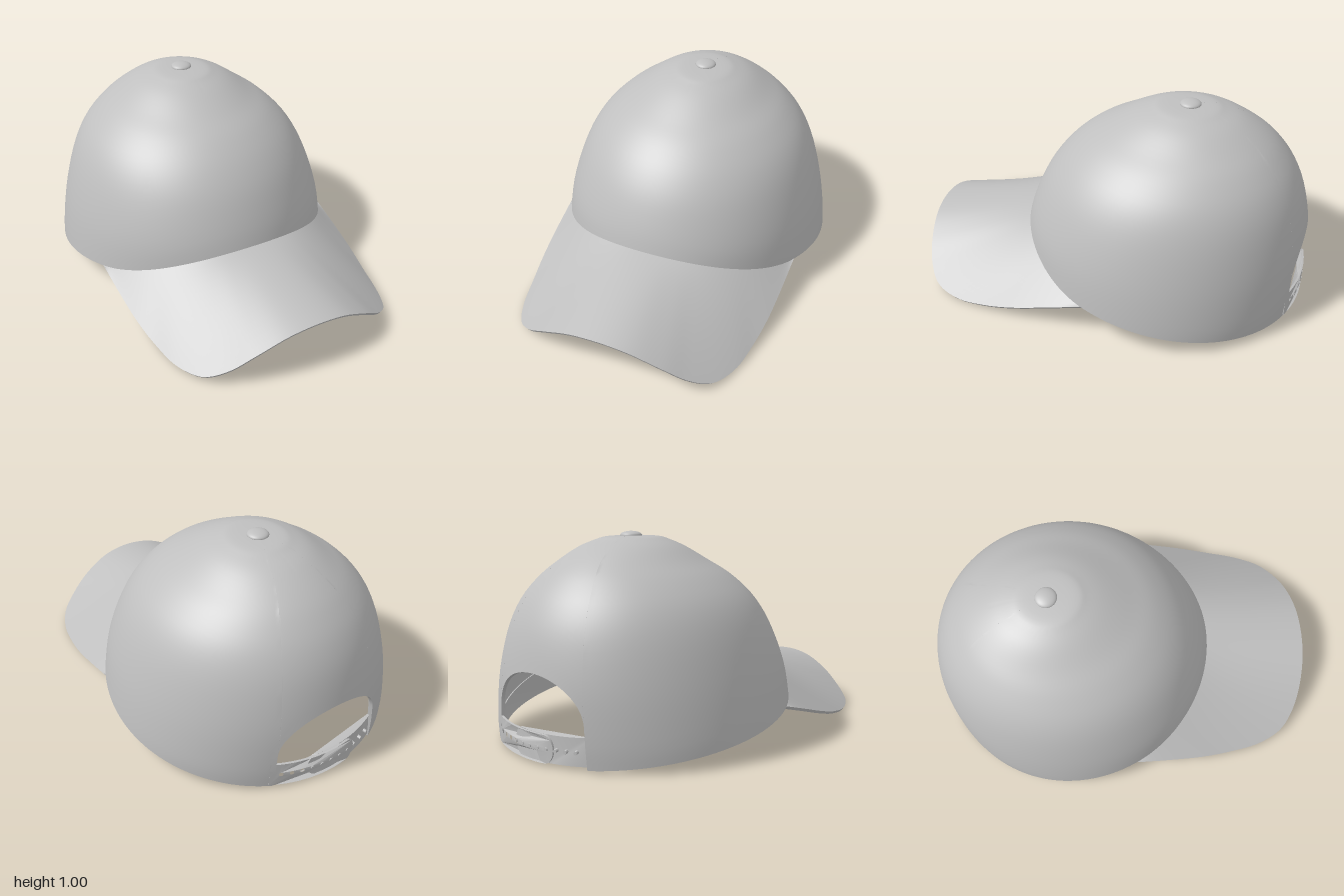
import * as THREE from 'three';
import { toCreasedNormals } from 'three/addons/utils/BufferGeometryUtils.js';

const V = (x, y, z) => new THREE.Vector3(x, y, z);
const fabric = new THREE.MeshStandardMaterial({ color: 0xbfbfbf });
fabric.name = 'grey fabric';

// Grid surface from cross-sections; either direction can be closed
function sheet(cols, rows, fn, closeI, closeJ) {
  const pos = [], idx = [];
  for (let i = 0; i < cols; i++) for (let j = 0; j < rows; j++) pos.push(...fn(i, j).toArray());
  const at = (i, j) => (i % cols) * rows + (j % rows);
  for (let i = 0; i < (closeI ? cols : cols - 1); i++) {
    for (let j = 0; j < (closeJ ? rows : rows - 1); j++) {
      const a = at(i, j), b = at(i + 1, j), c = at(i + 1, j + 1), d = at(i, j + 1);
      idx.push(a, b, c, a, c, d);
    }
  }
  const g = new THREE.BufferGeometry();
  g.setAttribute('position', new THREE.Float32BufferAttribute(pos, 3));
  g.setIndex(idx);
  return toCreasedNormals(g, 0.8);
}

// Crown profile: height, half width, front z, back z
const rowsTable = [
  [0, 0.722, 0.475, -0.99], [0.13, 0.716, 0.475, -1], [0.337, 0.68, 0.46, -0.995],
  [0.54, 0.618, 0.38, -0.955], [0.68, 0.545, 0.285, -0.895], [0.785, 0.445, 0.17, -0.815],
  [0.86, 0.34, 0.045, -0.73], [0.925, 0.245, -0.075, -0.625], [0.96, 0.17, -0.16, -0.535],
  [0.975, 0.115, -0.215, -0.475], [0.98, 0, -0.35, -0.35],
];
const spline = (pts) => new THREE.CatmullRomCurve3(pts, false, 'catmullrom', 0.5);
const frontCurve = spline(rowsTable.map(([y, x, f]) => V(x, y, f)));
const backCurve = spline(rowsTable.map(([y, x, , b]) => V(x, y, b)));

function crownPoint(theta, t, inset = 0) {
  const f = frontCurve.getPoint(t), b = backCurve.getPoint(t);
  const p = V(f.x * Math.sin(theta), f.y, (f.z + b.z) / 2 + (f.z - b.z) / 2 * Math.cos(theta));
  return p.lerp(V(0, Math.min(p.y, 0.3), -0.27), inset);
}

// Bottom edge rises towards the front
const edgeHeight = (z) => 0.16 + 0.159 * (z - 0.03) + 0.11 * Math.max(0, (z - 0.03) / 0.43) ** 2;

function solveT(theta, heightAt) {
  let lo = 0, hi = 1;
  for (let k = 0; k < 30; k++) {
    const mid = (lo + hi) / 2, p = crownPoint(theta, mid);
    if (p.y < heightAt(p)) lo = mid; else hi = mid;
  }
  return lo;
}
const edgeT = (theta) => solveT(theta, (p) => edgeHeight(p.z));

const holeHalf = 0.417, holeEdge = Math.PI - holeHalf;

// Crown shell with a rear arch opening
function crownGeometry() {
  const columns = [];
  for (let i = 0; i <= 120; i++) {
    const theta = holeEdge * (i / 60 - 1);
    columns.push({ theta, t0: edgeT(theta) });
  }
  for (let i = 0; i <= 32; i++) {
    const a = -Math.cos(Math.PI * i / 32), theta = Math.PI + a * holeHalf;
    const arch = 0.2 + 0.2 * Math.sqrt(Math.max(0, 1 - a * a));
    columns.push({ theta, t0: solveT(theta, () => arch) });
  }
  const n = 36;
  return sheet(columns.length, 2 * n + 2, (i, j) => {
    const { theta, t0 } = columns[i], outer = j <= n;
    const v = (outer ? j : 2 * n + 1 - j) / n;
    return crownPoint(theta, t0 + (1 - t0) * v, outer ? 0 : 0.022);
  }, true, true);
}

// Band lining the inside of the bottom edge
function sweatbandGeometry() {
  const n = 6;
  return sheet(97, 2 * n + 2, (i, j) => {
    const theta = holeEdge * (i / 48 - 1), outer = j <= n;
    const v = (outer ? j : 2 * n + 1 - j) / n;
    return crownPoint(theta, edgeT(theta) + 0.075 * v, outer ? 0.021 : 0.03);
  }, false, true);
}

// Brim ruled between the crown seam and a curved outline
function brimGeometry() {
  const half = [
    [0.15, 0.228, 0.992], [0.3, 0.16, 0.965], [0.42, 0.082, 0.92], [0.51, 0.031, 0.85],
    [0.575, 0.014, 0.72], [0.61, 0.03, 0.56], [0.634, 0.066, 0.4], [0.647, 0.115, 0.22],
    [0.655, 0.165, 0.035],
  ];
  const outline = new THREE.CatmullRomCurve3([
    ...half.map(([x, y, z]) => V(-x, y, z)).reverse(), V(0, 0.248, 1), ...half.map((p) => V(...p)),
  ]);
  const cols = 97, n = 14;
  return sheet(cols, 2 * n + 2, (i, j) => {
    const u = i / (cols - 1), theta = (u * 2 - 1) * 1.155;
    const top = j <= n, w = (top ? j : 2 * n + 1 - j) / n;
    const p = outline.getPointAt(u).lerp(crownPoint(theta, edgeT(theta), 0.004), w);
    return top ? p : V(p.x * 0.985, p.y - 0.013, p.z - 0.006 * (1 - w));
  }, false, true);
}

// Wraps flat strap parts around the back of the head
function bend(g, radius) {
  const p = g.attributes.position;
  for (let i = 0; i < p.count; i++) {
    const a = p.getX(i) / 0.725, r = radius + p.getZ(i), z = -0.265 - r * Math.cos(a);
    p.setXYZ(i, -r * Math.sin(a), p.getY(i) + 0.159 * (z + 0.92), z);
  }
  return toCreasedNormals(g, 0.6);
}

const strapMid = 0.086, strapHalf = 0.064;
const holePos = (i) => -0.27 + 0.052 * i;

// One strap half with a rounded free end; dir is the side it is sewn to
function strapGeometry(dir, radius, holes) {
  const pts = [], end = -0.085, root = 0.325, n = 14;
  for (let i = 0; i <= n; i++) pts.push([root + (end - root) * i / n, strapHalf]);
  for (let i = 1; i < 12; i++) {
    const a = Math.PI * i / 12;
    pts.push([end - 0.05 * Math.sin(a), strapHalf * Math.cos(a)]);
  }
  for (let i = 0; i <= n; i++) pts.push([end + (root - end) * i / n, -strapHalf]);
  const shape = new THREE.Shape(pts.map(([x, y]) => new THREE.Vector2(x * dir, y + strapMid)));
  for (let i = 0; i < holes; i++) {
    shape.holes.push(new THREE.Path().absarc(holePos(i), strapMid, 0.011, 0, Math.PI * 2, true));
  }
  const g = new THREE.ExtrudeGeometry(shape, { depth: 0.01, bevelEnabled: false, curveSegments: 8 });
  return bend(g, radius);
}

export function createModel() {
  const cap = new THREE.Group();
  cap.name = 'cap';
  const add = (name, geometry, parent = cap) => {
    const m = new THREE.Mesh(geometry, fabric);
    m.name = name;
    parent.add(m);
    return m;
  };

  add('crown', crownGeometry());
  add('sweatband', sweatbandGeometry());
  add('brim', brimGeometry());

  // Top button
  const button = add('topButton', new THREE.SphereGeometry(1, 32, 16));
  button.scale.set(0.053, 0.02, 0.053);
  button.position.set(0, 0.98, -0.357);

  // Adjustable rear strap
  const strap = new THREE.Group();
  strap.name = 'rearStrap';
  cap.add(strap);
  add('holeStrap', strapGeometry(-1, 0.721, 8), strap);
  add('pegStrap', strapGeometry(1, 0.709, 0), strap);
  for (let i = 3; i < 11; i++) {
    const peg = new THREE.CylinderGeometry(0.008, 0.009, 0.016, 12);
    peg.rotateX(Math.PI / 2).translate(holePos(i), strapMid, 0.016);
    add('strapPeg', bend(peg, 0.709), strap);
  }
  return cap;
}
